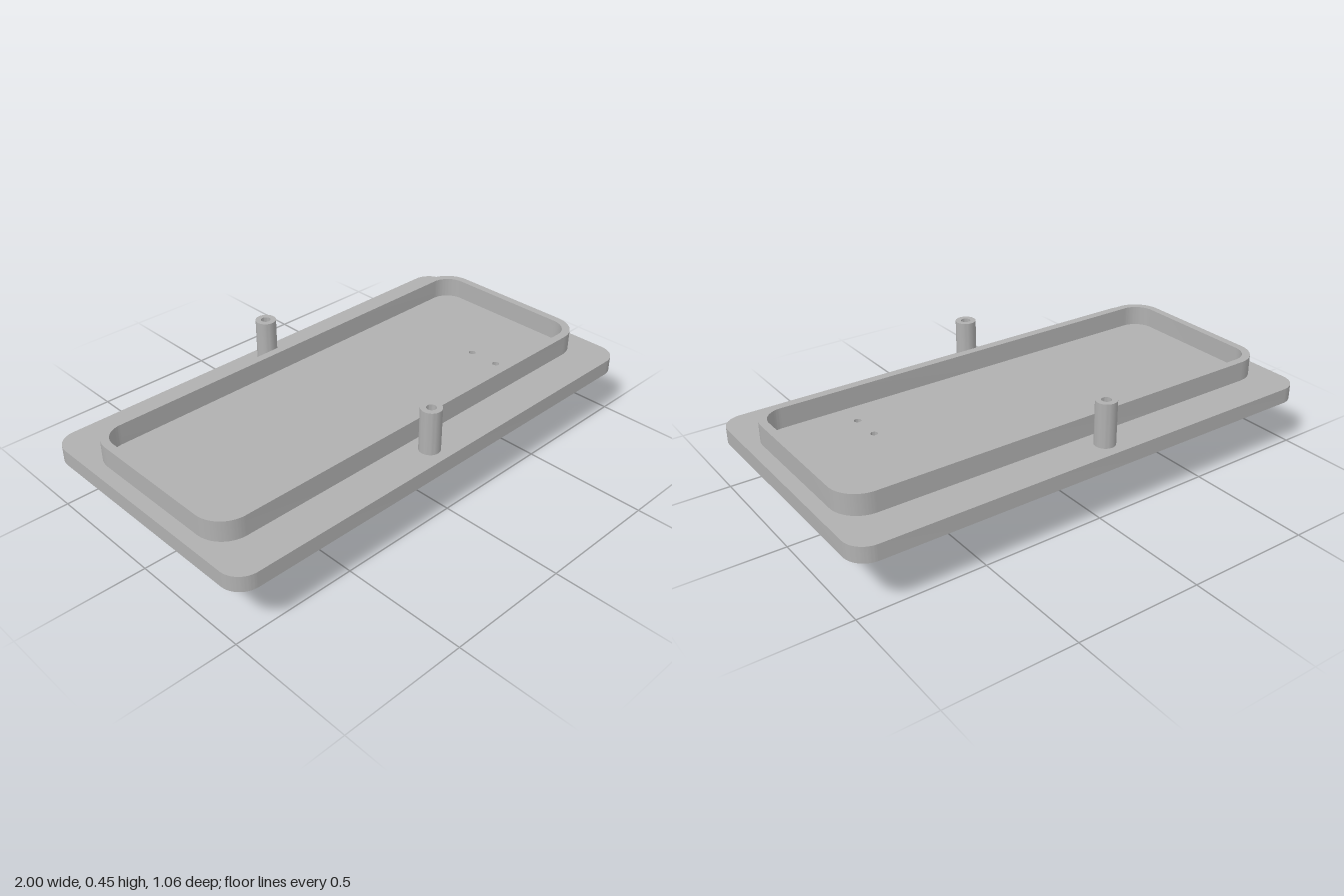
import * as THREE from 'three';
import { toCreasedNormals } from 'three/addons/utils/BufferGeometryUtils.js';

const PLATE_BOTTOM = 0.208, PLATE_TOP = 0.27, RIM_TOP = 0.352, POST_TOP = 0.446;
const SPOUT_X = 0.578, SPOUT_Z = [0.103, 0.228], SPOUT_BORE = 0.014;

// Rounded rectangle centred on the origin, given half sizes and corner radius
function roundedRect(target, w, d, r) {
  target.moveTo(w, -d + r);
  target.absarc(w - r, d - r, r, 0, Math.PI / 2);
  target.absarc(-w + r, d - r, r, Math.PI / 2, Math.PI);
  target.absarc(-w + r, -d + r, r, Math.PI, Math.PI * 1.5);
  target.absarc(w - r, -d + r, r, Math.PI * 1.5, Math.PI * 2);
  target.closePath();
  return target;
}

function circle(target, x, z, r) {
  return target.absarc(x, -z, r, 0, Math.PI * 2);
}

export function createModel() {
  const group = new THREE.Group();
  const grey = new THREE.MeshStandardMaterial({ color: 0xb0b0b0 });
  grey.name = 'grey plastic';

  // Extrude a plan outline upwards from y0 to y1
  const addSolid = (name, shape, y0, y1) => {
    const raw = new THREE.ExtrudeGeometry(shape, { depth: y1 - y0, bevelEnabled: false, curveSegments: 16 });
    raw.rotateX(-Math.PI / 2).translate(0, y0, 0);
    const mesh = new THREE.Mesh(toCreasedNormals(raw, 0.6), grey);
    mesh.name = name;
    group.add(mesh);
  };

  const addTube = (name, x, z, outer, bore, y0, y1) => {
    const shape = circle(new THREE.Shape(), x, z, outer);
    shape.holes.push(circle(new THREE.Path(), x, z, bore));
    addSolid(name, shape, y0, y1);
  };

  // Base plate, pierced above the two spouts
  const plate = roundedRect(new THREE.Shape(), 1, 0.528, 0.085);
  for (const z of SPOUT_Z) plate.holes.push(circle(new THREE.Path(), SPOUT_X, z, SPOUT_BORE));
  addSolid('basePlate', plate, PLATE_BOTTOM, PLATE_TOP);

  // Raised rim around the tray
  const rim = roundedRect(new THREE.Shape(), 0.944, 0.37, 0.115);
  rim.holes.push(roundedRect(new THREE.Path(), 0.912, 0.338, 0.083));
  addSolid('rim', rim, PLATE_TOP, RIM_TOP);

  // Hollow screw posts, closed below by the plate
  addTube('frontPost', -0.055, 0.448, 0.041, 0.019, PLATE_TOP, POST_TOP);
  addTube('backPost', -0.055, -0.448, 0.041, 0.019, PLATE_TOP, POST_TOP);

  // Drain spouts under the plate
  SPOUT_Z.forEach((z, i) => addTube(['backSpout', 'frontSpout'][i], SPOUT_X, z, 0.032, SPOUT_BORE, 0, PLATE_BOTTOM));

  return group;
}
